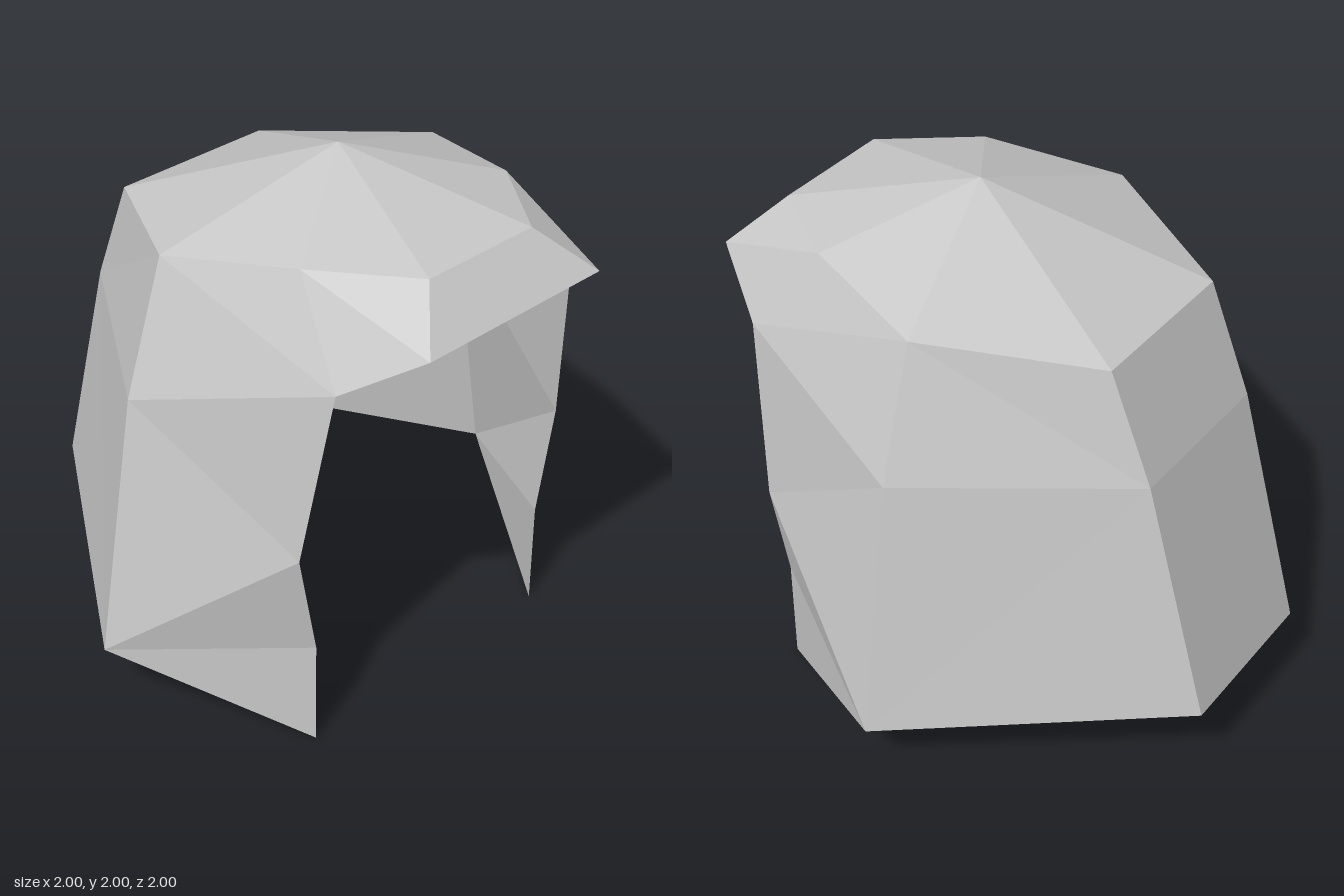
import * as THREE from 'three';

const shellGrey = new THREE.MeshStandardMaterial({ color: 0xc8c8c8, side: THREE.DoubleSide, flatShading: true });
shellGrey.name = 'shellGrey';

// Corners of the left (+x) half
const P = {
  apex: [0, 2, 0.17],
  crownBack: [0.333, 1.667, -0.583],
  crownSide: [0.667, 1.75, 0],
  crownFront: [0.5, 1.833, 0.5],
  fringeTop: [0.25, 1.833, 0.833],
  fringeTip: [0.417, 1.667, 1],
  temple: [0.585, 1.5, 0.75],
  sideMid: [0.833, 1.25, 0],
  sideLow: [1, 0.25, 0],
  backMid: [0.333, 1.25, -0.75],
  backLow: [0.333, 0.335, -1],
  cheek: [0.667, 0.833, 0.667],
  jaw: [0.585, 0.417, 0.667],
  tip: [0.585, 0, 0.667],
};

// A leading '-' mirrors a corner across x
const corner = (n) => {
  if (!n.startsWith('-')) return P[n];
  const [x, y, z] = P[n.slice(1)];
  return [-x, y, z];
};
const flip = (n) => (n.startsWith('-') ? n.slice(1) : '-' + n);
const mirrored = (faces) => faces.map((f) => f.map(flip).reverse());

// Flat-faced mesh from named polygons, each split as a fan
function panel(name, faces) {
  const pos = [];
  for (const f of faces) {
    for (let i = 1; i < f.length - 1; i++) {
      pos.push(...corner(f[0]), ...corner(f[i]), ...corner(f[i + 1]));
    }
  }
  const g = new THREE.BufferGeometry();
  g.setAttribute('position', new THREE.Float32BufferAttribute(pos, 3));
  g.computeVertexNormals();
  const mesh = new THREE.Mesh(g, shellGrey);
  mesh.name = name;
  return mesh;
}

export function createModel() {
  const group = new THREE.Group();
  group.name = 'hairShell';

  // Faceted cap around the apex
  const crownHalf = [
    ['apex', 'crownSide', 'crownBack'],
    ['apex', 'crownFront', 'crownSide'],
    ['apex', 'fringeTop', 'crownFront'],
  ];
  group.add(panel('crown', [
    ...crownHalf, ...mirrored(crownHalf),
    ['apex', 'crownBack', '-crownBack'],
    ['apex', '-fringeTop', 'fringeTop'],
  ]));

  // Overhanging front fringe
  const fringeHalf = [
    ['crownFront', 'fringeTop', 'fringeTip'],
    ['crownFront', 'fringeTip', 'temple'],
  ];
  group.add(panel('fringe', [
    ...fringeHalf, ...mirrored(fringeHalf),
    ['fringeTop', '-fringeTop', '-fringeTip', 'fringeTip'],
  ]));

  // Side panels framing the open front
  const side = [
    ['crownSide', 'crownFront', 'temple'],
    ['crownSide', 'temple', 'sideMid'],
    ['sideMid', 'temple', 'cheek'],
    ['sideMid', 'cheek', 'sideLow'],
    ['sideLow', 'cheek', 'jaw'],
    ['sideLow', 'jaw', 'tip'],
  ];
  group.add(panel('leftSide', side), panel('rightSide', mirrored(side)));

  // Angled rear panels
  const rear = [
    ['crownBack', 'crownSide', 'backMid'],
    ['crownSide', 'sideMid', 'backMid'],
    ['backMid', 'sideMid', 'sideLow'],
    ['backMid', 'sideLow', 'backLow'],
  ];
  group.add(panel('leftRear', rear), panel('rightRear', mirrored(rear)));

  // Flat back strip
  group.add(panel('back', [
    ['crownBack', 'backMid', '-backMid', '-crownBack'],
    ['backMid', 'backLow', '-backLow', '-backMid'],
  ]));

  return group;
}
